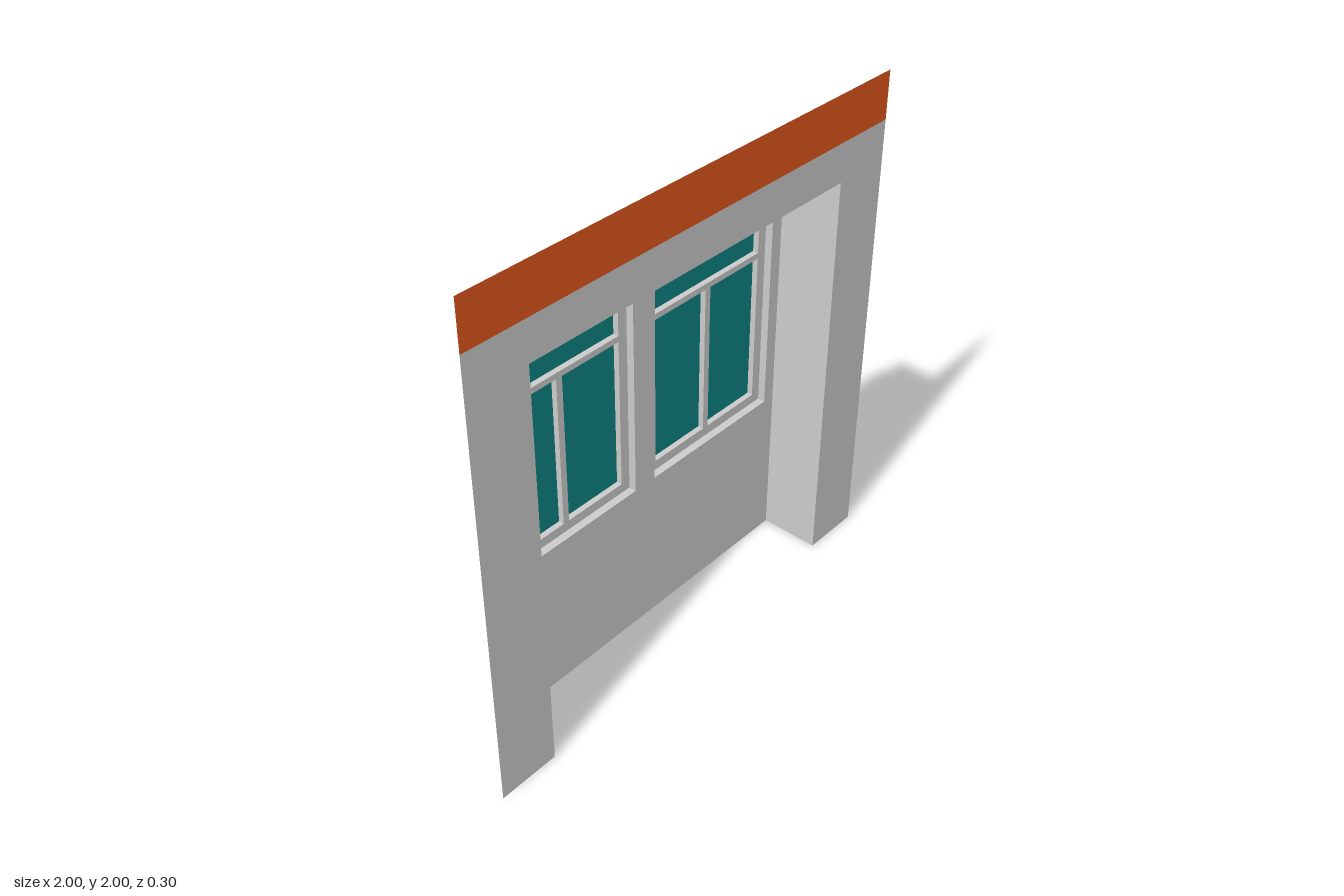
import * as THREE from 'three';

// Depths of the stepped layers, from the front wall to the glass
const Z_WALL = 0.15, Z_BACK = -0.096, Z_FRAME = -0.127, Z_GLASS = -0.15;

const mat = (color) => new THREE.MeshStandardMaterial({ color, side: THREE.DoubleSide, flatShading: true });
const grey = mat(0xcccccc), orange = mat(0xe2571e), teal = mat(0x0d8284);

const corners = ([x0, x1, y0, y1]) =>
  [[x0, y0], [x1, y0], [x1, y1], [x0, y1]].map(([x, y]) => new THREE.Vector2(x, y));

// Flat upright sheet from an outline, with rectangular holes
function sheet(name, points, z, material, holes = []) {
  const shape = new THREE.Shape(points);
  for (const hole of holes) shape.holes.push(new THREE.Path(corners(hole).reverse()));
  const mesh = new THREE.Mesh(new THREE.ShapeGeometry(shape), material);
  mesh.position.z = z;
  mesh.name = name;
  return mesh;
}

// Side walls joining a rectangle at depth zFront to the same one at zBack
function reveal(name, rect, zFront, zBack, openBottom = false) {
  const group = new THREE.Group();
  group.name = name;
  const pts = corners(rect), depth = zFront - zBack;
  for (let i = openBottom ? 1 : 0; i < 4; i++) {
    const a = pts[i], b = pts[(i + 1) % 4];
    const mesh = new THREE.Mesh(new THREE.PlaneGeometry(a.distanceTo(b), depth), grey);
    mesh.rotation.set(Math.PI / 2, Math.atan2(b.y - a.y, b.x - a.x), 0, 'ZXY');
    // Turn the strip flat along the edge first, then about z
    mesh.rotation.set(Math.PI / 2, 0, Math.atan2(b.y - a.y, b.x - a.x), 'ZYX');
    mesh.position.set((a.x + b.x) / 2, (a.y + b.y) / 2, (zFront + zBack) / 2);
    mesh.name = name + 'Side';
    group.add(mesh);
  }
  return group;
}

export function createModel() {
  const model = new THREE.Group();
  model.name = 'wallWithWindows';

  const recess = [-0.752, 0.752, 0, 1.662];
  const [rx0, rx1, , rTop] = recess;
  const bandY = 1.815;

  // Front wall with an opening down to the ground, and the coloured band on top
  const wallOutline = [[-1, 0], [rx0, 0], [rx0, rTop], [rx1, rTop], [rx1, 0], [1, 0], [1, bandY], [-1, bandY]]
    .map(([x, y]) => new THREE.Vector2(x, y));
  model.add(sheet('frontWall', wallOutline, Z_WALL, grey));
  model.add(sheet('topBand', corners([-1, 1, bandY, 2]), Z_WALL, orange));

  // Recess: jambs, soffit and rear wall
  const frames = [[-0.7, -0.051, 0.643, 1.603], [0.051, 0.7, 0.643, 1.603]];
  model.add(reveal('recess', recess, Z_WALL, Z_BACK, true));
  model.add(sheet('rearWall', corners(recess), Z_BACK, grey, frames));

  // Windows: a stepped frame with one wide pane over two tall ones
  frames.forEach((frame, i) => {
    const win = new THREE.Group();
    win.name = i ? 'leftWindow' : 'rightWindow';
    const x0 = frame[0] + 0.041, x1 = frame[1] - 0.041, mid = (x0 + x1) / 2;
    const panes = [
      [x0, x1, 1.319, 1.566],
      [x0, mid - 0.0135, 0.682, 1.295],
      [mid + 0.0135, x1, 0.682, 1.295],
    ];
    win.add(reveal('frameReveal', frame, Z_BACK, Z_FRAME));
    win.add(sheet('windowFrame', corners(frame), Z_FRAME, grey, panes));
    for (const pane of panes) {
      win.add(reveal('paneReveal', pane, Z_FRAME, Z_GLASS));
      win.add(sheet('glassPane', corners(pane), Z_GLASS, teal));
    }
    model.add(win);
  });

  return model;
}
